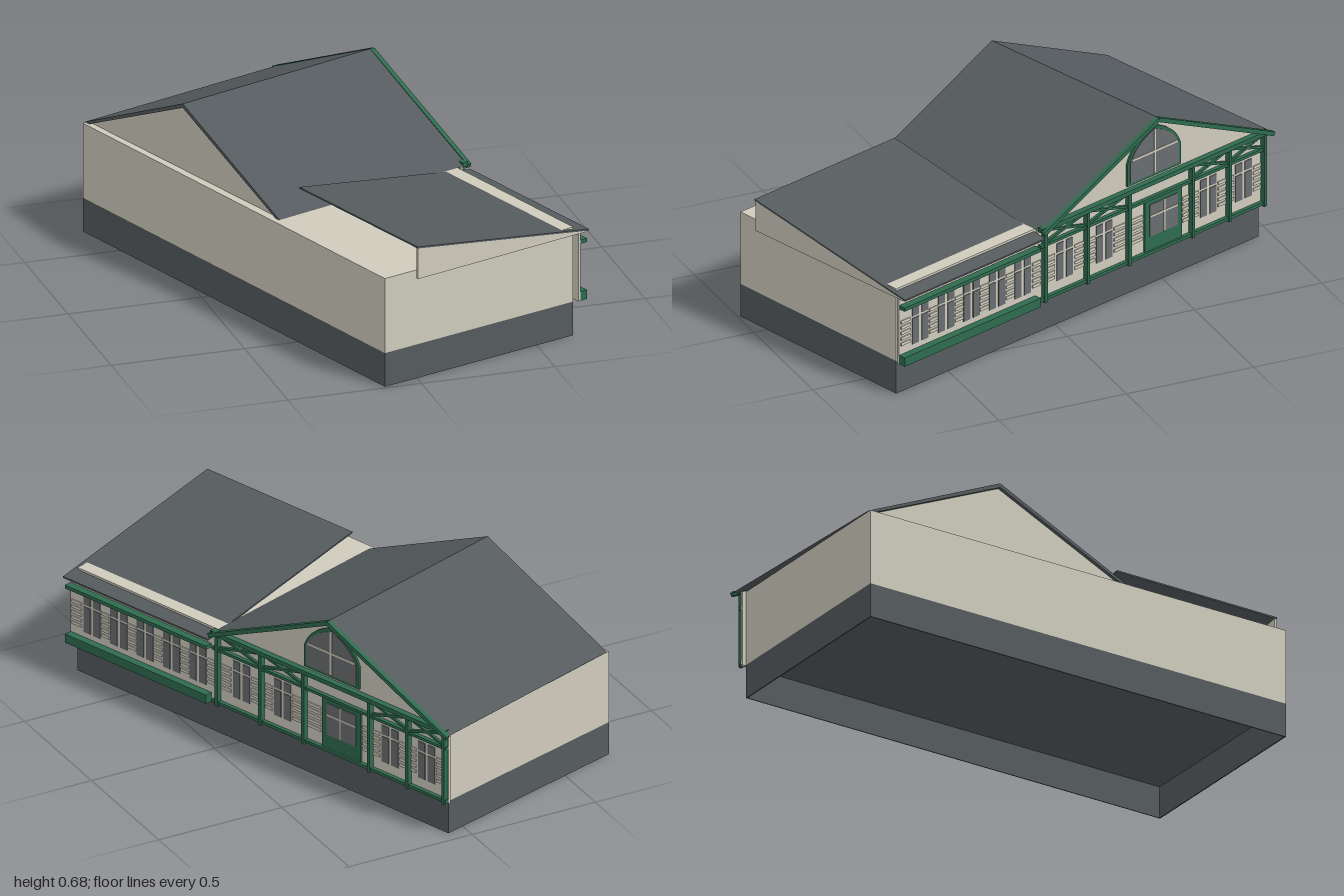
import * as THREE from 'three';

const paint = (name, color) => {
  const m = new THREE.MeshStandardMaterial({ color });
  m.name = name;
  return m;
};

export function createModel() {
  const wall = paint('beigeWall', 0xcfcbbd);
  const slate = paint('slateGrey', 0x555b5e);
  const green = paint('greenTrim', 0x2f6b4f);
  const glass = paint('greyGlass', 0x6a6d70);

  const model = new THREE.Group();
  model.name = 'house';
  const house = new THREE.Group();
  house.name = 'turnedHouse';
  house.rotation.y = THREE.MathUtils.degToRad(19.3);
  model.add(house);

  const add = (name, geo, mat) => {
    const mesh = new THREE.Mesh(geo, mat);
    mesh.name = name;
    house.add(mesh);
    return mesh;
  };
  // Box between two corners; the street facade faces +x
  const box = (name, mat, x0, x1, y0, y1, z0, z1) => {
    const mesh = add(name, new THREE.BoxGeometry(x1 - x0, y1 - y0, Math.abs(z1 - z0)), mat);
    mesh.position.set((x0 + x1) / 2, (y0 + y1) / 2, (z0 + z1) / 2);
    return mesh;
  };
  const toShape = (pts) => new THREE.Shape(pts.map(([a, b]) => new THREE.Vector2(a, b)));
  // Profile in (z, y) extruded along x from x0 to x1
  const alongX = (name, mat, shape, x0, x1) => {
    const geo = new THREE.ExtrudeGeometry(shape, { depth: x1 - x0, bevelEnabled: false, curveSegments: 10 });
    geo.rotateY(-Math.PI / 2).translate(x1, 0, 0);
    return add(name, geo, mat);
  };
  // Profile in (x, y) extruded along z from z0 to z1
  const alongZ = (name, mat, pts, z0, z1) => {
    const geo = new THREE.ExtrudeGeometry(toShape(pts), { depth: z1 - z0, bevelEnabled: false });
    return add(name, geo.translate(0, 0, z0), mat);
  };
  // Slanted bar on the facade between two (z, y) points
  const bar = (name, mat, [za, ya], [zb, yb], t, x0, x1) => {
    const mesh = add(name, new THREE.BoxGeometry(x1 - x0, t, Math.hypot(zb - za, yb - ya)), mat);
    mesh.position.set((x0 + x1) / 2, (ya + yb) / 2, (za + zb) / 2);
    mesh.rotation.x = -Math.atan2(yb - ya, zb - za);
  };

  // Body: hollow plinth, open below, and wall block on a slightly skewed plan
  const plan = [[-0.453, -0.89], [0.37, -0.917], [0.381, 0.875], [-0.439, 0.906]];
  const upright = (name, mat, shape, y0, y1) => {
    const geo = new THREE.ExtrudeGeometry(shape, { depth: y1 - y0, bevelEnabled: false });
    add(name, geo.rotateX(-Math.PI / 2).translate(0, y0, 0), mat);
  };
  const ring = toShape(plan);
  ring.holes.push(new THREE.Path(plan.map(([x, y]) => new THREE.Vector2(x * 0.99, y * 0.995))));
  upright('plinth', slate, ring, 0, 0.13);
  upright('plinthCover', slate, toShape(plan), 0.122, 0.13);
  upright('wallBlock', wall, toShape(plan), 0.13, 0.418);

  // Gable roof, ridge running towards the facade
  const ridge = -0.334, eaveA = -0.907, eaveB = 0.236;
  alongX('gableRoof', slate, toShape([[eaveA, 0.42], [eaveA + 0.022, 0.418], [ridge, 0.664],
    [eaveB - 0.022, 0.418], [eaveB, 0.42], [ridge, 0.68]]), -0.427, 0.427);
  const gable = toShape([[eaveA + 0.018, 0.416], [eaveB - 0.018, 0.416], [ridge, 0.667]]);
  alongX('rearGableWall', wall, gable, -0.414, -0.406);
  alongX('facadeGableWall', wall, gable, 0.385, 0.395);
  for (const e of [eaveA, eaveB]) bar('rakeTrim', green, [e, 0.415], [ridge, 0.673], 0.016, 0.412, 0.43);

  // Lean-to roof with its end wall; the inner side stays open
  alongZ('leanToRoof', slate, [[-0.338, 0.519], [0.43, 0.394], [0.43, 0.4], [-0.338, 0.525]], 0.236, 0.932);
  alongZ('leanToEndWall', wall, [[-0.336, 0.4], [0.42, 0.392], [0.42, 0.399], [-0.336, 0.521]], 0.922, 0.931);

  // Facade panels
  box('lowFacade', wall, 0.385, 0.395, 0.13, 0.4, 0.236, 0.927);
  box('mainFacade', wall, 0.385, 0.395, 0.13, 0.418, -0.888, 0.236);
  box('lowerBand', green, 0.395, 0.424, 0.13, 0.165, 0.25, 0.927);
  box('upperBand', green, 0.395, 0.424, 0.35, 0.364, 0.25, 0.927);

  // Porch frame: rails, posts and cross braces
  box('eaveBeam', green, 0.395, 0.418, 0.415, 0.432, -0.888, 0.236);
  box('middleRail', green, 0.395, 0.41, 0.352, 0.363, -0.888, 0.236);
  box('bottomRail', green, 0.395, 0.41, 0.137, 0.149, -0.888, 0.236);
  const posts = [0.212, 0.002, -0.205, -0.52, -0.704, -0.878];
  posts.forEach((z, i) => {
    box('post', green, 0.395, 0.414, 0.13, 0.42, z - 0.007, z + 0.007);
    const next = posts[i + 1];
    if (next === undefined || i === 2) return;
    bar('crossBrace', green, [z, 0.363], [next, 0.416], 0.009, 0.396, 0.406);
    bar('crossBrace', green, [z, 0.416], [next, 0.363], 0.009, 0.396, 0.405);
  });

  // Four-pane windows
  const windows = [0.823, 0.694, 0.568, 0.441, 0.314, 0.105, -0.092, -0.609, -0.784];
  for (const z of windows) {
    for (const s of [-1, 1]) {
      box('lowerPane', glass, 0.395, 0.398, 0.187, 0.29, z + s * 0.007, z + s * 0.04);
      box('upperPane', glass, 0.395, 0.398, 0.299, 0.335, z + s * 0.007, z + s * 0.04);
    }
  }

  // Clapboards between the openings
  const gaps = [[0.873, 0.92], [0.738, 0.778], [0.61, 0.65], [0.485, 0.525], [0.358, 0.396], [0.225, 0.265],
    [0.155, 0.2], [0.012, 0.055], [-0.045, -0.01], [-0.195, -0.14], [-0.28, -0.215], [-0.51, -0.48],
    [-0.56, -0.53], [-0.695, -0.657], [-0.735, -0.712], [-0.87, -0.832]];
  for (const [z0, z1] of gaps) {
    for (let y = 0.2; y < 0.3; y += 0.022) box('clapboard', wall, 0.395, 0.399, y, y + 0.012, z0, z1);
  }

  // Double door with glazed upper part
  box('door', green, 0.395, 0.402, 0.14, 0.355, -0.473, -0.288);
  box('doorGlass', glass, 0.402, 0.405, 0.205, 0.332, -0.45, -0.311);
  box('doorMullion', wall, 0.405, 0.408, 0.205, 0.332, -0.384, -0.377);
  box('doorTransom', wall, 0.405, 0.408, 0.283, 0.29, -0.45, -0.311);

  // Arched gable window
  const arch = (w, y0, ys, top) => {
    const s = new THREE.Shape();
    s.moveTo(ridge - w, y0);
    s.lineTo(ridge + w, y0);
    s.lineTo(ridge + w, ys);
    s.quadraticCurveTo(ridge + w * 0.8, top - 0.035, ridge, top);
    s.quadraticCurveTo(ridge - w * 0.8, top - 0.035, ridge - w, ys);
    s.closePath();
    return s;
  };
  alongX('archFrame', green, arch(0.132, 0.442, 0.53, 0.643), 0.395, 0.403);
  alongX('archGlass', glass, arch(0.12, 0.453, 0.53, 0.631), 0.403, 0.406);
  box('archMullion', wall, 0.406, 0.409, 0.453, 0.629, ridge - 0.004, ridge + 0.004);
  box('archTransom', wall, 0.406, 0.409, 0.538, 0.546, ridge - 0.115, ridge + 0.115);

  return model;
}
